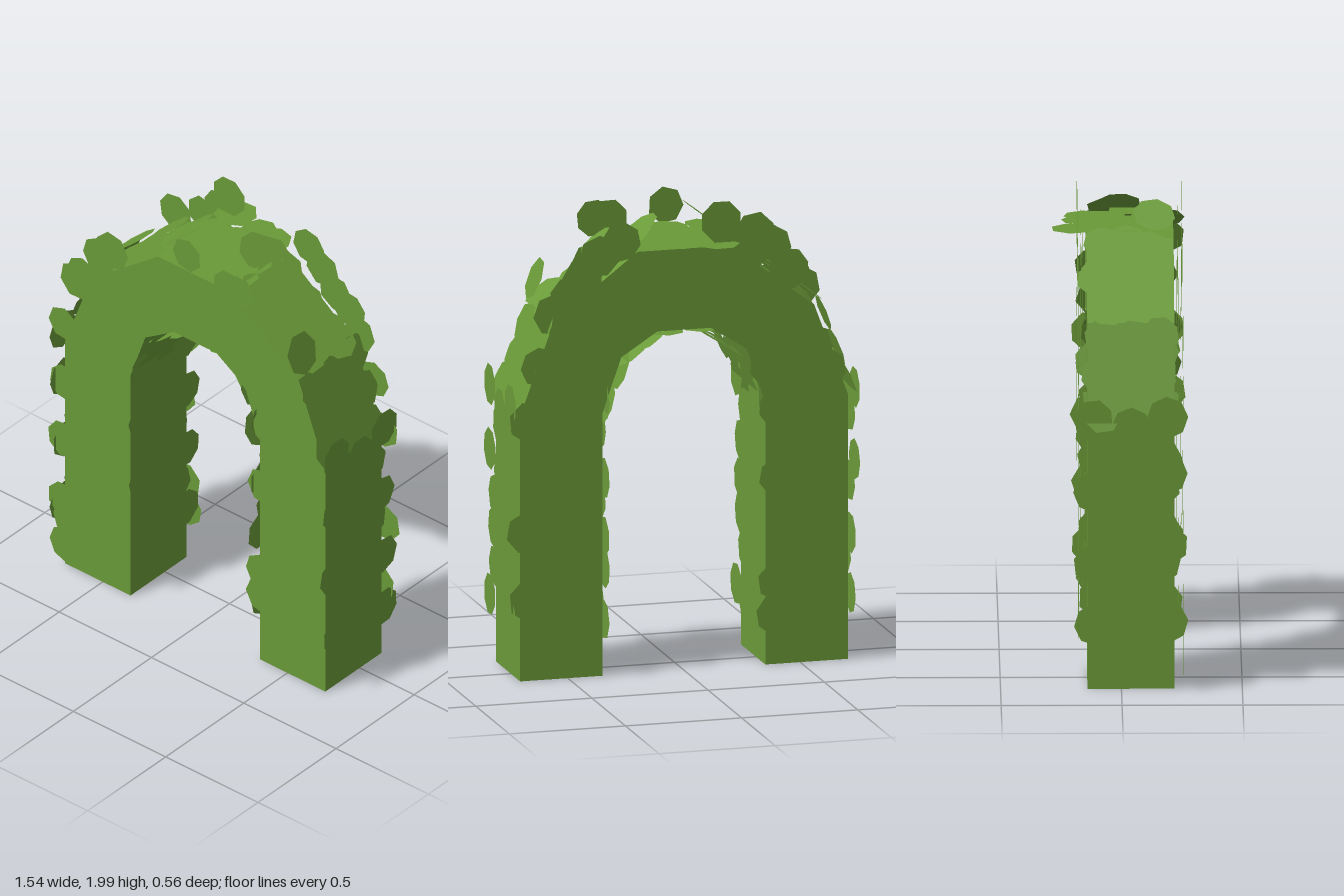
import * as THREE from 'three';

const FRONT = 0.22, BACK = -0.14;

export function createModel() {
  const group = new THREE.Group();
  group.name = 'hedgeArch';
  const green = new THREE.MeshStandardMaterial({ color: 0x6a9a38, side: THREE.DoubleSide });
  green.name = 'leafGreen';

  let seed = 7;
  const rand = () => {
    seed = (seed * 16807) % 2147483647;
    return seed / 2147483647;
  };

  // Right half of the faceted arch, mirrored for the left half
  const outerHalf = [[0.705, 0], [0.705, 1.13], [0.56, 1.52], [0.2, 1.795]];
  const innerHalf = [[0.35, 0], [0.35, 1.12], [0.27, 1.35], [0.115, 1.45]];
  const mirror = half => half.map(([x, y]) => [-x, y]).reverse();
  const outer = [...outerHalf, ...mirror(outerHalf)];
  const inner = [...innerHalf, ...mirror(innerHalf)];

  // Solid trimmed core
  const shape = new THREE.Shape([...outer, ...inner.slice().reverse()].map(([x, y]) => new THREE.Vector2(x, y)));
  const coreGeo = new THREE.ExtrudeGeometry(shape, { depth: FRONT - BACK, bevelEnabled: false });
  coreGeo.translate(0, 0, BACK);
  const core = new THREE.Mesh(coreGeo, green);
  core.name = 'archCore';
  group.add(core);

  // One flat, slightly irregular leaf facing along its normal
  function leaf(parent, x, y, z, normal, r) {
    const geo = new THREE.CircleGeometry(r, 7 + Math.floor(rand() * 2), rand() * 6.28);
    geo.scale(0.92 + rand() * 0.08, 1, 1);
    const mesh = new THREE.Mesh(geo, green);
    mesh.name = 'leaf';
    mesh.position.set(x, y, z);
    mesh.quaternion.setFromUnitVectors(new THREE.Vector3(0, 0, 1), normal);
    parent.add(mesh);
  }
  function foliage(name) {
    const g = new THREE.Group();
    g.name = name;
    group.add(g);
    return g;
  }
  const layer = () => (rand() < 0.5 ? 0.018 : 0.036);

  // Leaves hanging over the outline: x, y, radius
  const frontRim = [
    [-0.69, 0.935, 0.088], [-0.68, 0.66, 0.09], [-0.68, 0.35, 0.09], [-0.685, 1.25, 0.08],
    [-0.615, 1.5, 0.09], [-0.58, 1.54, 0.09], [-0.49, 1.68, 0.09], [-0.52, 1.52, 0.11],
    [-0.42, 1.74, 0.092], [-0.03, 1.89, 0.08], [0.21, 1.84, 0.088], [0.275, 1.85, 0.08],
    [0.39, 0.36, 0.09], [0.385, 0.48, 0.085], [0.385, 0.9, 0.09], [0.4, 1.2, 0.08], [0.36, 1.44, 0.1],
    [-0.67, 0.13, 0.09], [-0.55, 0.14, 0.1], [-0.52, 0.25, 0.1], [-0.65, 0.26, 0.09],
    [0.62, 0.72, 0.08], [0.62, 1.0, 0.08], [0.6, 0.42, 0.09], [0.28, 1.66, 0.09],
  ];
  const backRim = [
    [-0.15, 1.91, 0.09], [-0.2, 1.82, 0.09], [-0.28, 1.77, 0.085], [-0.44, 1.69, 0.09],
    [0.28, 1.85, 0.085], [0.37, 1.79, 0.09],
    [0.44, 1.7, 0.09], [0.5, 1.63, 0.09], [0.57, 1.555, 0.09], [0.63, 1.34, 0.085],
    [0.68, 1.11, 0.088], [0.69, 0.64, 0.09], [0.675, 0.345, 0.09],
    [-0.385, 0.22, 0.088], [-0.39, 0.36, 0.085], [-0.39, 0.8, 0.08], [-0.39, 1.1, 0.085],
    [-0.35, 1.28, 0.085], [-0.62, 0.4, 0.08], [-0.62, 0.95, 0.08], [-0.6, 1.25, 0.09],
  ];
  const faces = [['frontLeaves', FRONT, 1, frontRim], ['backLeaves', BACK, -1, backRim]];
  for (const [name, z, side, rim] of faces) {
    const g = foliage(name);
    const normal = new THREE.Vector3(0, 0, side);
    const put = (x, y, r) => leaf(g, x, y, z + side * layer(), normal, r);
    rim.forEach(([x, y, r]) => put(x, y, r));
    // Fill on the legs
    for (const sx of [-1, 1]) {
      for (let y = 0.33; y < 1.3; y += 0.14) {
        put(sx * (0.46 + rand() * 0.14), y, 0.085 + rand() * 0.02);
      }
    }
    // Fill around the curve
    for (let i = 0; i <= 11; i++) {
      const a = 0.25 + (i / 11) * (Math.PI - 0.5);
      const ring = 0.48 + rand() * 0.08;
      put(ring * Math.cos(a), 1.12 + ring * Math.sin(a), 0.085 + rand() * 0.02);
    }
  }

  // Leaves lying on the outside and underside, following each facet
  function alongPath(name, path, sign) {
    const g = foliage(name);
    for (let i = 0; i < path.length - 1; i++) {
      const a = new THREE.Vector2(...path[i]), b = new THREE.Vector2(...path[i + 1]);
      const d = b.clone().sub(a), length = d.length();
      d.normalize();
      const normal = new THREE.Vector3(d.y * sign, -d.x * sign, 0);
      const put = (t, z, r) => {
        const off = layer();
        leaf(g, a.x + d.x * t + normal.x * off, a.y + d.y * t + normal.y * off, z, normal, r);
      };
      if (length > 1) {
        // Leg sides: overhanging pairs with fillers between them
        const up = h => (i === 0 ? h : length - h);
        for (let k = 0; k < 4; k++) {
          const h = 0.29 + k * 0.3;
          const j = () => (rand() - 0.5) * 0.07;
          const rim = sign > 0 ? 0 : 0.02;
          put(up(h + j()), 0.19 - rim, 0.09);
          put(up(h + j() - 0.03), -0.115 + rim, 0.088);
          put(up(h - 0.05 + j()), 0.04, 0.09);
          if (k < 3) {
            put(up(h + 0.145), 0.12, 0.088);
            put(up(h + 0.145), -0.04, 0.088);
          }
        }
      } else {
        // Curve facets: steep ones overhang the edges, flatter ones stay inside
        const steep = Math.abs(d.y) > 0.8;
        const rows = Math.max(2, Math.round(length / 0.15));
        for (let k = 0; k < rows; k++) {
          const t = length * (0.14 + (0.72 * k) / (rows - 1));
          for (const z of steep ? [0.17, 0.04, -0.09] : [0.12, 0.03, -0.06]) {
            put(t + (rand() - 0.5) * 0.05, z + (rand() - 0.5) * 0.04, 0.08 + rand() * 0.012);
          }
        }
      }
    }
  }
  alongPath('outsideLeaves', outer, 1);
  alongPath('undersideLeaves', inner, -1);

  // Larger top leaves spilling over the back
  const top = foliage('topLeaves');
  const up = new THREE.Vector3(0, 1, 0);
  [[-0.13, -0.195, 0.095], [0.02, -0.16, 0.085], [0.1, -0.14, 0.095]]
    .forEach(([x, z, r]) => leaf(top, x, 1.82, z, up, r));

  // Slope leaves running on past the crown and over the edges: x, y, z
  const slope = foliage('slopeLeaves');
  const slopeNormal = side => new THREE.Vector3(side * 0.607, 0.795, 0);
  [[-0.14, 1.88, 0.14], [0.15, 1.865, 0], [0.19, 1.835, -0.05], [0.28, 1.77, 0.18], [-0.41, 1.665, -0.1]]
    .forEach(([x, y, z]) => leaf(slope, x, y, z, slopeNormal(Math.sign(x)), 0.09));
  // Steep leaf standing above the shoulder
  leaf(slope, 0.55, 1.63, 0.185, new THREE.Vector3(0.937, 0.349, 0), 0.095);

  return group;
}
